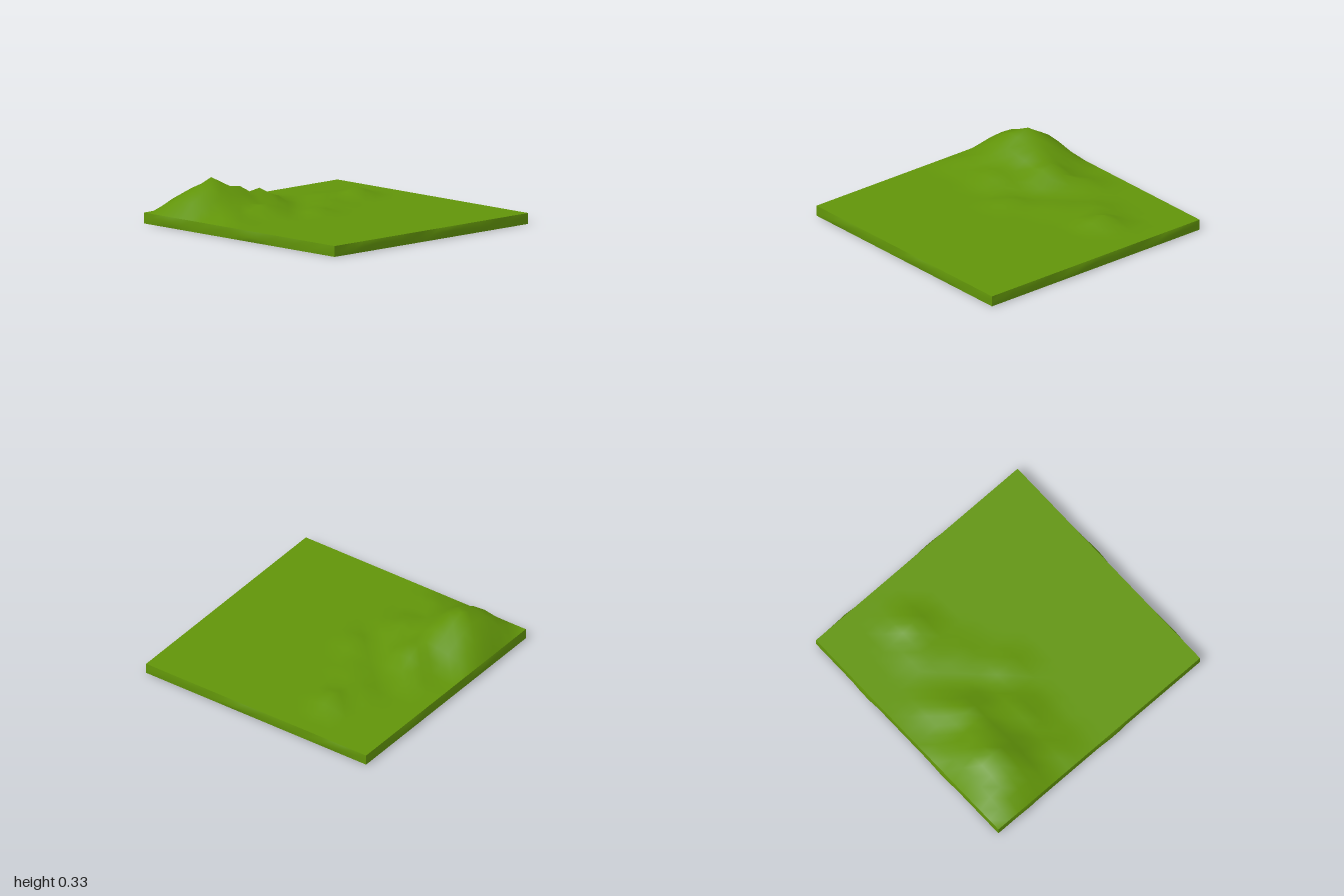
import * as THREE from 'three';

const HALF = 0.985, TOP = 0.08, SEG = 20;

// Hills: x, z, height above the slab, radius in x, radius in z
const HILLS = [
  [-0.59, -0.68, 0.255, 0.48, 0.42],
  [-0.79, -0.65, 0.150, 0.22, 0.30],
  [-0.69, -0.59, 0.165, 0.28, 0.22],
  [-0.39, -0.59, 0.160, 0.28, 0.26],
  [-0.20, -0.56, 0.155, 0.24, 0.24],
  [0.00, -0.69, 0.055, 0.22, 0.22],
  [-0.45, -0.30, 0.095, 0.30, 0.24],
  [-0.79, -0.30, 0.060, 0.24, 0.24],
  [-0.10, -0.10, 0.040, 0.20, 0.20],
  [0.20, -0.30, 0.030, 0.26, 0.22],
  [0.39, -0.49, 0.040, 0.24, 0.22],
  [0.59, -0.40, 0.078, 0.22, 0.20],
];

// Pointed hills blended by a soft maximum
function hillHeight(x, z) {
  let sum = 0;
  for (const [hx, hz, h, rx, rz] of HILLS) {
    const d = Math.hypot((x - hx) / rx, (z - hz) / rz);
    if (d < 1) sum += (h * (1 - d)) ** 5;
  }
  return sum ** 0.2;
}

export function createModel() {
  const group = new THREE.Group();
  group.name = 'terrainTile';
  const material = new THREE.MeshStandardMaterial({ color: 0x619409 });
  const add = (geometry, name) => {
    const mesh = new THREE.Mesh(geometry, material);
    mesh.name = name;
    group.add(mesh);
    return mesh;
  };

  // Ground surface, with its rim kept level
  const ground = new THREE.PlaneGeometry(2 * HALF, 2 * HALF, SEG, SEG).rotateX(-Math.PI / 2);
  const p = ground.attributes.position;
  for (let i = 0; i < p.count; i++) {
    const x = p.getX(i), z = p.getZ(i);
    const rim = Math.max(Math.abs(x), Math.abs(z)) > HALF - 0.01;
    p.setY(i, TOP + (rim ? 0 : hillHeight(x, z)));
  }
  ground.computeVertexNormals();
  add(ground, 'hillyGround');

  // Four sides, each with an uneven bulge at half height
  for (let k = 0; k < 4; k++) {
    const side = new THREE.PlaneGeometry(2 * HALF, TOP, SEG, 2).translate(0, TOP / 2, HALF);
    const s = side.attributes.position;
    for (let i = SEG + 1; i < 2 * (SEG + 1); i++) {
      const x = s.getX(i), t = 1 - (x / HALF) ** 8;
      const wave = Math.sin(x * 7 + k * 2.3) + 0.7 * Math.sin(x * 15 + k * 4.1);
      s.setY(i, 0.042 + 0.008 * Math.sin(x * 9 + k));
      s.setZ(i, HALF + t * Math.min(0.015, 0.008 + 0.005 * wave));
    }
    side.computeVertexNormals();
    add(side.rotateY(k * Math.PI / 2), 'side' + (k + 1));
  }

  // Flat underside
  add(new THREE.PlaneGeometry(2 * HALF, 2 * HALF).rotateX(Math.PI / 2), 'underside');
  return group;
}
